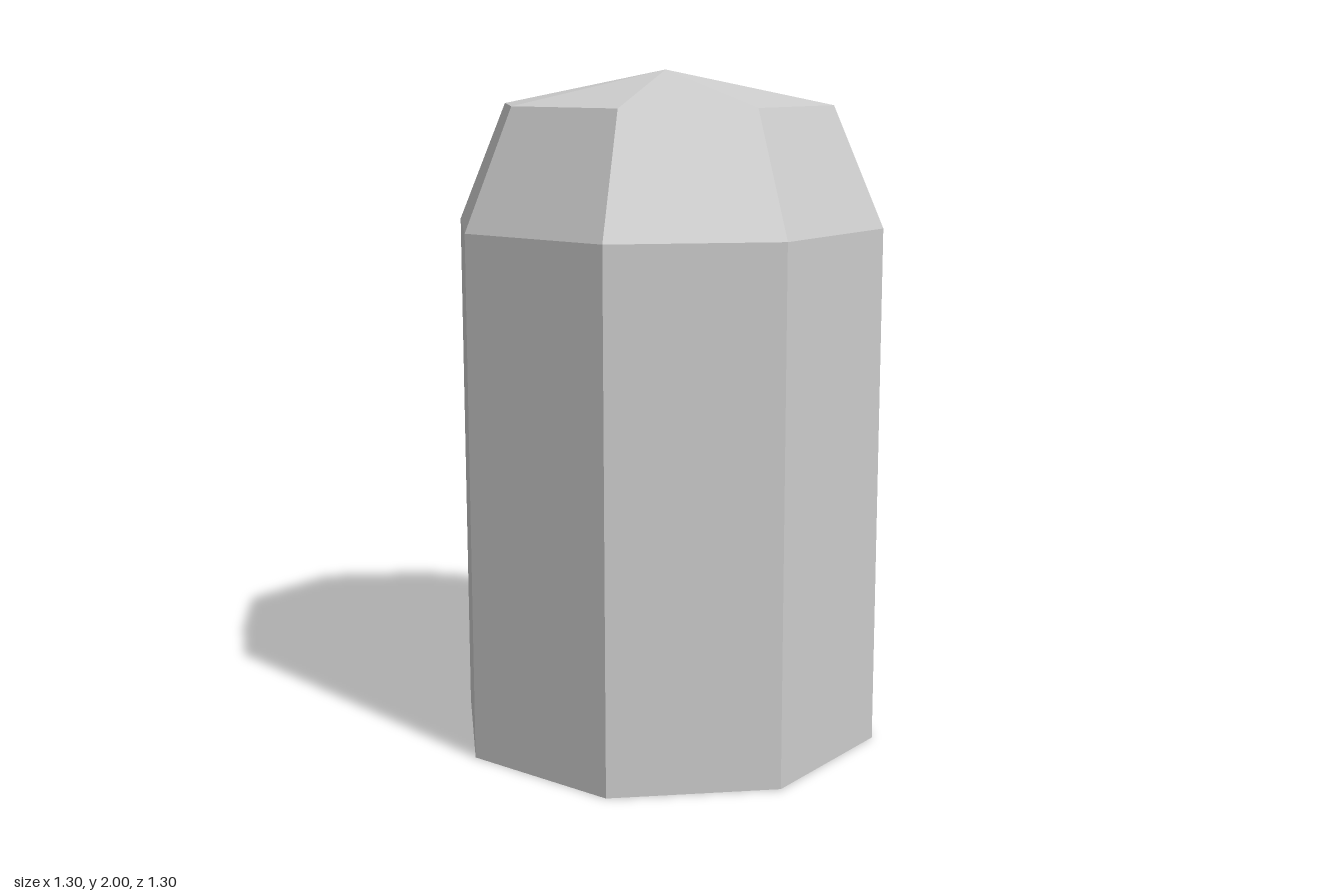
import * as THREE from 'three';

const SIDES = 8;

export function createModel() {
  const group = new THREE.Group();
  group.name = 'octagonalPost';
  const grey = new THREE.MeshStandardMaterial({ color: 0xcccccc, flatShading: true });
  grey.name = 'light grey';

  const add = (name, geometry, y) => {
    const mesh = new THREE.Mesh(geometry, grey);
    mesh.name = name;
    mesh.position.y = y;
    group.add(mesh);
  };

  // Open eight-sided rings stacked from the ground: [name, bottom radius, top radius, bottom y, top y]
  const rings = [
    ['body', 0.65, 0.65, 0, 1.55],
    ['shoulder', 0.65, 0.5, 1.55, 1.9],
    ['cap', 0.5, 0, 1.9, 2],
  ];
  for (const [name, r0, r1, y0, y1] of rings) {
    add(name, new THREE.CylinderGeometry(r1, r0, y1 - y0, SIDES, 1, true), (y0 + y1) / 2);
  }

  // Flat underside
  add('base', new THREE.CircleGeometry(0.65, SIDES).rotateX(Math.PI / 2), 0);

  return group;
}
